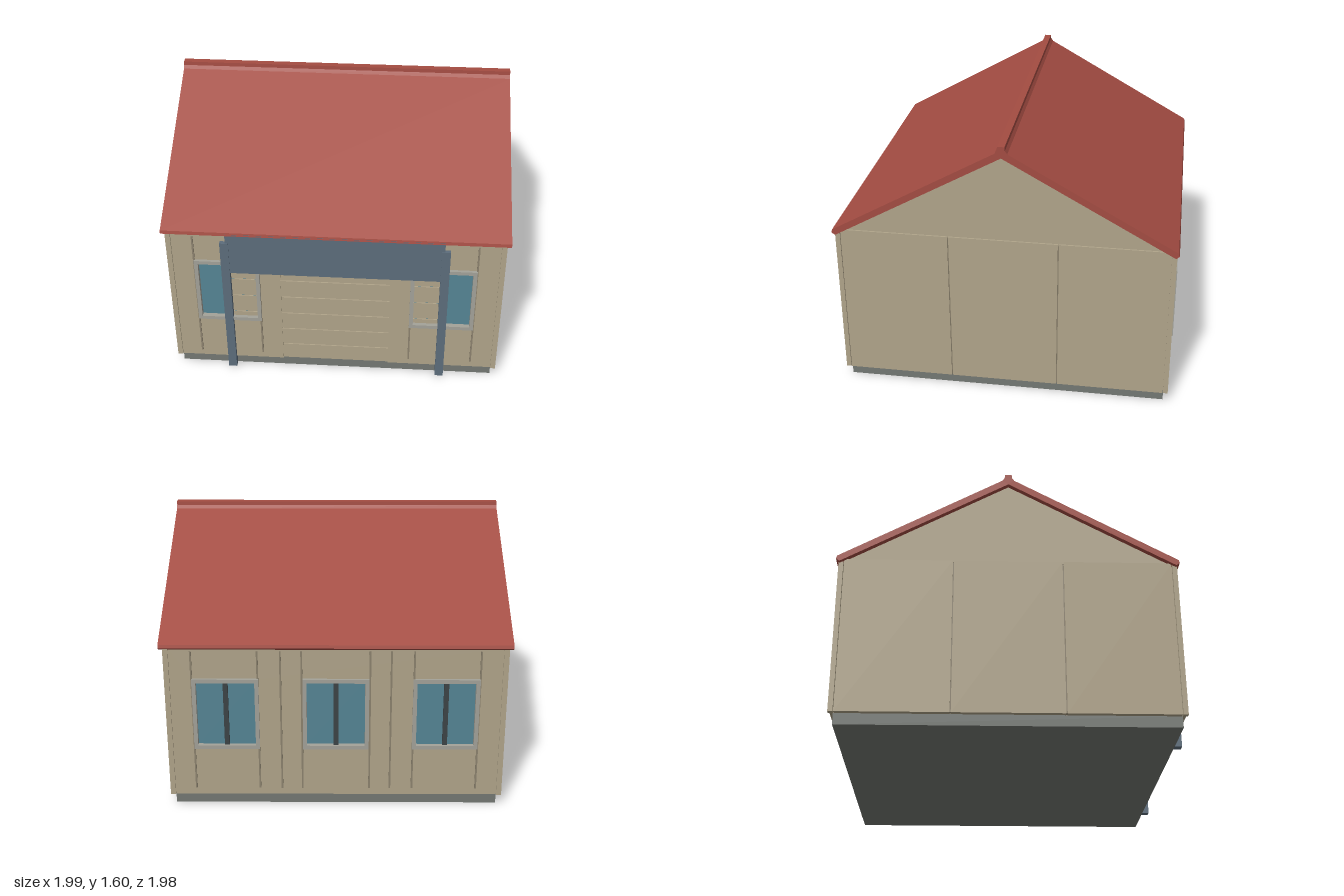
import * as THREE from 'three';

const mat = (color) => new THREE.MeshStandardMaterial({ color });

export function createModel() {
  const model = new THREE.Group();
  const wall = mat(0xb0a48a), joint = mat(0x8c826e), roofRed = mat(0xa34c42), steel = mat(0x5c6d7c);
  const stone = mat(0x747873), frameGrey = mat(0xa3a299), glass = mat(0x558594), dark = mat(0x3c4346);

  // Box given by its lower and upper limits on each axis
  function box(parent, name, m, x0, x1, y0, y1, z0, z1) {
    const mesh = new THREE.Mesh(new THREE.BoxGeometry(x1 - x0, y1 - y0, z1 - z0), m);
    mesh.position.set((x0 + x1) / 2, (y0 + y1) / 2, (z0 + z1) / 2);
    mesh.name = name;
    parent.add(mesh);
    return mesh;
  }
  const rectPath = (x0, x1, y0, y1) => new THREE.Path([
    new THREE.Vector2(x0, y0), new THREE.Vector2(x0, y1),
    new THREE.Vector2(x1, y1), new THREE.Vector2(x1, y0)]);
  const polygon = (pts) => new THREE.Shape(pts.map((p) => new THREE.Vector2(...p)));

  // Plinth and floor
  box(model, 'plinth', stone, -0.947, 0.947, 0, 0.066, -0.95, 0.95);

  // Window: grey frame, two panes and a centre mullion
  const WY0 = 0.37, WY1 = 0.81, WW = 0.19;
  function addWindow(parent, cx) {
    const win = new THREE.Group();
    win.name = 'window';
    const x0 = cx - WW, x1 = cx + WW, f = 0.023;
    for (const [a, b, c, d] of [[x0, x0 + f, WY0, WY1], [x1 - f, x1, WY0, WY1],
      [x0 + f, x1 - f, WY0, WY0 + f], [x0 + f, x1 - f, WY1 - f, WY1]]) {
      box(win, 'windowFrame', frameGrey, a, b, c, d, 0.945, 0.985);
    }
    box(win, 'windowGlass', glass, x0 + f, x1 - f, WY0 + f, WY1 - f, 0.945, 0.957);
    box(win, 'windowMullion', dark, cx - 0.014, cx + 0.014, WY0 + f, WY1 - f, 0.95, 0.972);
    parent.add(win);
  }

  // Long wall facing +z, with window openings and an optional doorway
  function longWall(name, windows, battens, doorway) {
    const g = new THREE.Group();
    g.name = name;
    const outline = [[-0.946, 0.066]];
    if (doorway) outline.push([-0.32, 0.066], [-0.32, 0.74], [0.32, 0.74], [0.32, 0.066]);
    outline.push([0.946, 0.066], [0.946, 1.0], [-0.946, 1.0]);
    const shape = polygon(outline);
    for (const cx of windows) {
      shape.holes.push(rectPath(cx - WW + 0.005, cx + WW - 0.005, WY0 + 0.005, WY1 - 0.005));
    }
    const panel = new THREE.Mesh(
      new THREE.ExtrudeGeometry(shape, { depth: 0.023, bevelEnabled: false }), wall);
    panel.position.z = 0.945;
    panel.name = 'wallPanel';
    g.add(panel);
    windows.forEach((cx) => addWindow(g, cx));
    for (const x of battens) {
      for (const s of [-1, 1]) box(g, 'batten', joint, s * x - 0.005, s * x + 0.005, 0.11, 0.98, 0.96, 0.976);
    }
    model.add(g);
    return g;
  }
  const front = longWall('frontWall', [-0.63, 0.63], [0.82, 0.445], true);
  const back = longWall('backWall', [-0.63, 0, 0.63], [0.82, 0.445, 0.315, 0.195], false);
  back.rotation.y = Math.PI;

  // Sectional door, running behind the front wall panel
  const door = new THREE.Group();
  door.name = 'sectionalDoor';
  const seams = [0.066, 0.18, 0.303, 0.426, 0.55, 0.673, 0.745];
  for (let i = 0; i < seams.length - 1; i++) {
    box(door, 'doorSection', wall, -0.615, 0.615, seams[i] + 0.003, seams[i + 1] - 0.003, 0.94, 0.963);
  }
  box(door, 'doorBacking', dark, -0.61, 0.61, 0.07, 0.74, 0.93, 0.952);
  front.add(door);

  // Steel portal around the door
  const portal = new THREE.Group();
  portal.name = 'portal';
  box(portal, 'portalLintel', steel, -0.628, 0.628, 0.735, 1.012, 0.95, 0.988);
  for (const s of [-1, 1]) {
    box(portal, 'portalPost', steel, s * 0.635 - 0.025, s * 0.635 + 0.025, 0, 0.95, 0.95, 0.992);
  }
  model.add(portal);

  // Side walls of three panels, corner posts and gables
  for (const s of [-1, 1]) {
    const side = new THREE.Group();
    side.name = s > 0 ? 'leftWall' : 'rightWall';
    const xs = [s * 0.945, s * 0.975].sort((a, b) => a - b);
    for (const zc of [-0.6325, 0, 0.6325]) {
      box(side, 'sidePanel', wall, ...xs, 0.066, 1.012, zc - 0.313, zc + 0.313);
    }
    box(side, 'sideBacking', joint, s * 0.955 - 0.012, s * 0.955 + 0.012, 0.07, 1.0, -0.945, 0.945);
    for (const z of [-1, 1]) {
      box(side, 'cornerPost', wall, ...xs, 0.066, 0.998, z * 0.963 - 0.014, z * 0.963 + 0.014);
    }
    const gable = new THREE.Mesh(new THREE.ExtrudeGeometry(
      polygon([[-0.945, 1.005], [0.945, 1.005], [0, 1.535]]),
      { depth: 0.024, bevelEnabled: false }), wall);
    gable.rotation.y = Math.PI / 2;
    gable.position.x = s * 0.953 - 0.012;
    gable.name = 'gable';
    side.add(gable);
    model.add(side);
  }

  // Roof: thin pitched section with a raised ridge cap
  const half = [[0.97, 0.988], [0.99, 1.003], [0.985, 1.022], [0.035, 1.556], [0.022, 1.575], [0.02, 1.597]];
  const mirrored = half.map(([z, y]) => [-z, y]).reverse();
  const roof = new THREE.Mesh(new THREE.ExtrudeGeometry(
    polygon([...half, ...mirrored, [0, 1.53]]), { depth: 1.994, bevelEnabled: false }), roofRed);
  roof.rotation.y = Math.PI / 2;
  roof.position.x = -0.997;
  roof.name = 'roof';
  model.add(roof);

  return model;
}
